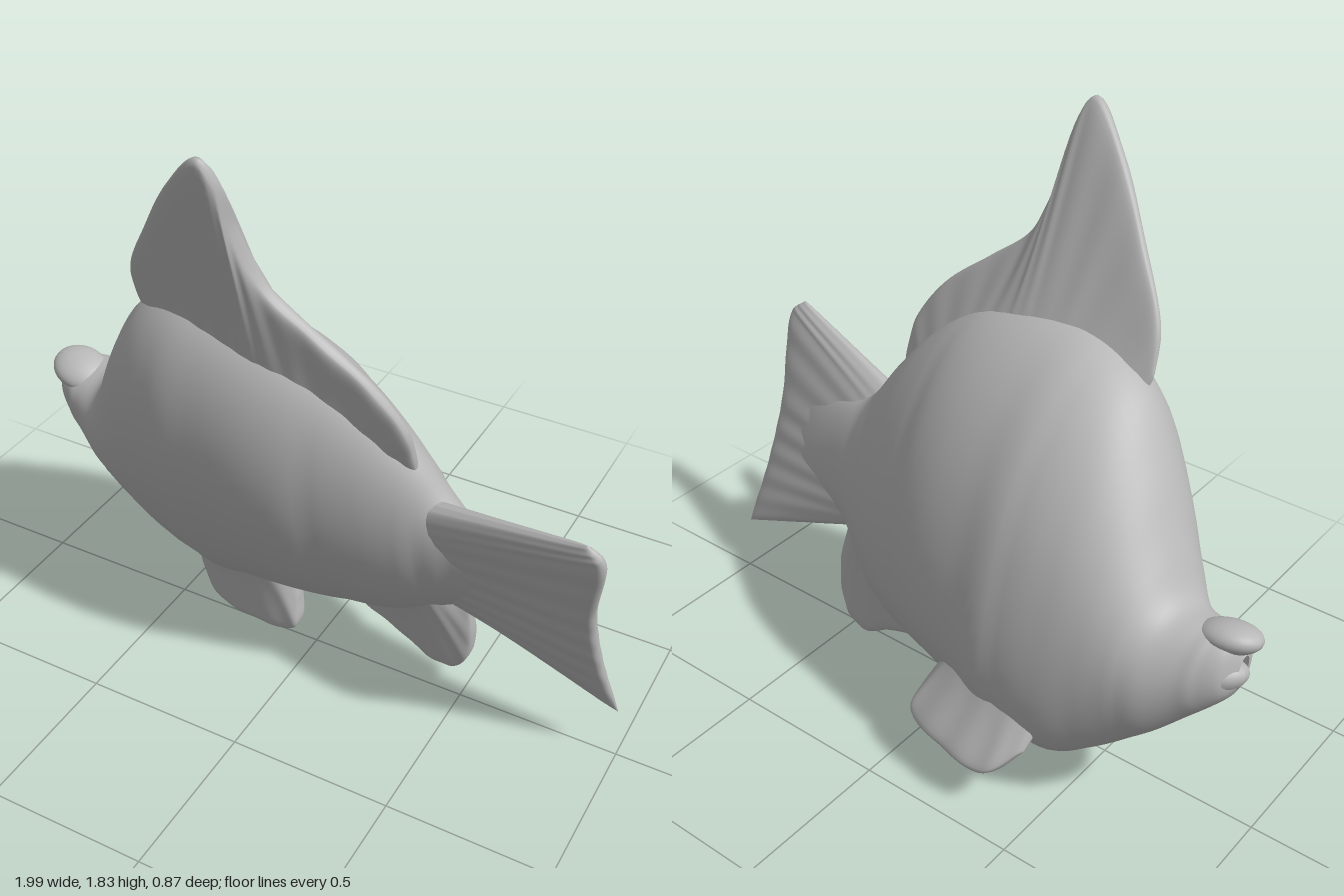
import * as THREE from 'three';

const grey = new THREE.MeshStandardMaterial({ color: 0xb8b8b8, side: THREE.DoubleSide });
grey.name = 'plain grey clay';

// The fish leans and turns: (x, y) lie on its sloping mid-plane, d is the distance out from that plane.
const place = (x, y, d) => [x - 0.126 * d, y - 0.328 * d, -0.2 + 0.35 * y + 0.135 * x + 0.936 * d];

// Smooth curve through [x, y, d] points
const curve = (pts) => new THREE.CatmullRomCurve3(pts.map(([x, y, d = 0]) => new THREE.Vector3(x, y, d)), false, 'centripetal');

// Surface from a rule (u, v) -> [x, y, d]; v may wrap round
function surface(nu, nv, rule, wrap) {
  const pos = [], index = [], cols = wrap ? nv : nv + 1;
  for (let i = 0; i <= nu; i++)
    for (let j = 0; j < cols; j++) pos.push(...place(...rule(i / nu, j / nv)));
  for (let i = 0; i < nu; i++)
    for (let j = 0; j < nv; j++) {
      const k = (j + 1) % cols;
      const a = i * cols + j, b = a + cols, c = (i + 1) * cols + k, e = i * cols + k;
      index.push(a, b, c, a, c, e);
    }
  const g = new THREE.BufferGeometry();
  g.setAttribute('position', new THREE.Float32BufferAttribute(pos, 3));
  g.setIndex(index);
  g.computeVertexNormals();
  return g;
}

function mesh(name, geometry) {
  const m = new THREE.Mesh(geometry, grey);
  m.name = name;
  return m;
}

// Ribbed fin from a base curve to an edge curve, flared at its root and rounded at its rim
function fin(name, base, edge, thick, ribs, flare, blunt = 0.6) {
  const b = curve(base), e = curve(edge);
  return mesh(name, surface(90, 28, (u, s) => {
    const c = Math.cos(Math.PI * s), v = Math.sin(Math.PI * s);
    const p = b.getPoint(u).lerp(e.getPoint(u), v);
    const ends = Math.pow(Math.max(0, Math.sin(Math.PI * u)), 0.4);
    const rib = 1 + 0.06 * v * Math.cos(2 * Math.PI * ribs * u);
    const root = 1 + flare * (1 - v) ** 2;
    const t = thick * ends * rib * root * Math.sign(c) * Math.pow(Math.abs(c), blunt);
    return [p.x, p.y, p.z + t];
  }));
}

function lip(name, x, y, rx, ry, rd, turn) {
  const g = new THREE.SphereGeometry(1, 28, 20).scale(rx, ry, rd).rotateZ(turn).translate(x, y, 0);
  const p = g.attributes.position;
  for (let i = 0; i < p.count; i++) p.setXYZ(i, ...place(p.getX(i), p.getY(i), p.getZ(i)));
  g.computeVertexNormals();
  return mesh(name, g);
}

export function createModel() {
  const fish = new THREE.Group();
  fish.name = 'fish';

  // Body sections: x, top, bottom, half thickness, sharpness of the back, sharpness of the belly
  const sections = [
    [-0.97, 0.67, 0.58, 0.02, 0.8, 0.9], [-0.945, 0.705, 0.54, 0.075, 0.8, 0.9], [-0.9, 0.712, 0.49, 0.105, 0.8, 0.9],
    [-0.85, 0.71, 0.44, 0.13, 0.8, 1], [-0.77, 0.73, 0.36, 0.17, 0.95, 1], [-0.7, 0.84, 0.3, 0.2, 1.1, 1],
    [-0.6, 1.02, 0.22, 0.235, 1.15, 0.95], [-0.48, 1.18, 0.15, 0.265, 1.15, 0.85], [-0.35, 1.25, 0.155, 0.285, 1.15, 0.72],
    [-0.2, 1.27, 0.175, 0.285, 1.15, 0.72], [0, 1.24, 0.185, 0.272, 1.15, 0.95], [0.15, 1.18, 0.19, 0.225, 1.15, 1.15],
    [0.28, 1.08, 0.22, 0.18, 1.15, 1.15], [0.4, 0.94, 0.29, 0.13, 1.15, 1.15], [0.5, 0.8, 0.38, 0.085, 1, 1],
    [0.62, 0.76, 0.42, 0.052, 1, 1], [0.8, 0.72, 0.44, 0.015, 1, 1],
  ];
  const outline = curve(sections.map(([x, top, bottom]) => [x, top, bottom]));
  const fullness = curve(sections.map(([, , , w, back, belly]) => [w, back, belly]));
  fish.add(mesh('body', surface(90, 56, (u, v) => {
    const o = outline.getPoint(u), f = fullness.getPoint(u), a = 2 * Math.PI * v;
    const c = Math.cos(a), s = Math.sin(a);
    const side = Math.sign(s) * Math.pow(Math.abs(s), c > 0 ? f.y : f.z);
    return [o.x, (o.y + o.z) / 2 + (o.y - o.z) / 2 * c, -f.x * side];
  }, true)));

  // Pouting mouth
  fish.add(lip('upperLip', -0.905, 0.692, 0.096, 0.042, 0.078, -0.22));
  fish.add(lip('lowerLip', -0.9, 0.582, 0.09, 0.045, 0.078, -0.5));

  // Tall pointed dorsal fin
  fish.add(fin('dorsalFin',
    [[-0.45, 1.1], [-0.38, 1.15], [-0.25, 1.18], [-0.18, 1.18], [-0.1, 1.18], [-0.05, 1.18], [0, 1.16],
      [0.08, 1.12], [0.15, 1.07], [0.22, 1], [0.28, 0.94], [0.32, 0.88], [0.35, 0.83]],
    [[-0.485, 1.2], [-0.465, 1.33], [-0.355, 1.51], [-0.22, 1.7], [-0.09, 1.82], [-0.05, 1.76], [-0.035, 1.6],
      [0.02, 1.44], [0.15, 1.33], [0.3, 1.21], [0.39, 1.08], [0.405, 0.98], [0.4, 0.87]],
    0.042, 13, 0.9));

  // Fanned tail
  fish.add(fin('tailFin',
    [[0.4, 0.82, 0.025], [0.38, 0.72, 0.02], [0.38, 0.6, 0.01], [0.38, 0.48, 0.01], [0.44, 0.4, 0.01]],
    [[0.92, 0.945, 0.02], [0.965, 0.9, 0.02], [0.935, 0.62, 0.02], [0.95, 0.4, 0.02], [0.995, 0.18, 0.02]],
    0.042, 10, 0.7, 0.5));

  // Rounded anal fin
  fish.add(fin('analFin',
    [[0.46, 0.44], [0.44, 0.42], [0.42, 0.4], [0.38, 0.38], [0.33, 0.37], [0.26, 0.34], [0.18, 0.32], [0.08, 0.3], [0, 0.28]],
    [[0.515, 0.38, 0.01], [0.53, 0.25, 0.03], [0.515, 0.15, 0.05], [0.47, 0.085, 0.06], [0.39, 0.07, 0.06],
      [0.28, 0.125, 0.05], [0.16, 0.165, 0.04], [0.06, 0.185, 0.02], [-0.05, 0.2, 0]],
    0.05, 8, 0.8, 0.5));

  // Pair of flaring pelvic fins, the right one set slightly further forward
  for (const side of [1, -1]) {
    const mirror = ([x, y, d]) => [x - 0.02 * (1 - side), y, d * side];
    fish.add(fin(side > 0 ? 'leftPelvicFin' : 'rightPelvicFin',
      [[-0.06, 0.29, 0.09], [-0.12, 0.3, 0.1], [-0.25, 0.3, 0.1], [-0.36, 0.3, 0.1], [-0.45, 0.31, 0.1]].map(mirror),
      [[-0.04, 0.2, 0.15], [-0.04, 0.1, 0.19], [-0.19, 0.07, 0.205], [-0.35, 0.07, 0.195], [-0.435, 0.17, 0.16]].map(mirror),
      0.05, 5, 0.8, 0.42));
  }

  return fish;
}
